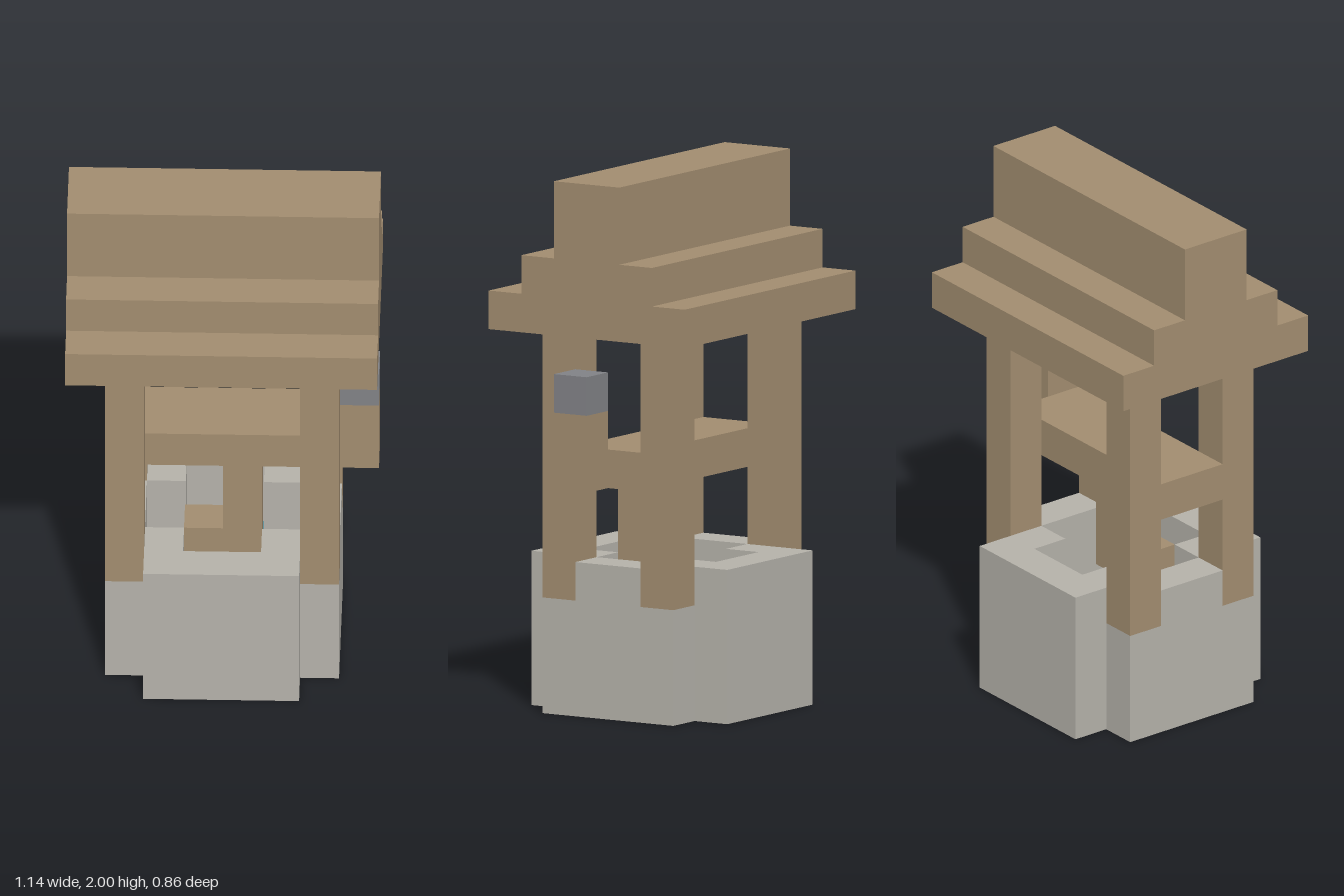
import * as THREE from 'three';

const U = 1 / 7; // one block

const flat = (name, color) => {
  const m = new THREE.MeshStandardMaterial({ color, side: THREE.DoubleSide });
  m.name = name;
  return m;
};

// Upright thin walls following a path of [x, z] points between two heights
function walls(path, y0, y1, closed = false) {
  const pos = [];
  const n = closed ? path.length : path.length - 1;
  for (let i = 0; i < n; i++) {
    const [ax, az] = path[i];
    const [bx, bz] = path[(i + 1) % path.length];
    pos.push(ax, y0, az, bx, y0, bz, bx, y1, bz, ax, y0, az, bx, y1, bz, ax, y1, az);
  }
  const g = new THREE.BufferGeometry();
  g.setAttribute('position', new THREE.Float32BufferAttribute(pos, 3));
  g.computeVertexNormals();
  return g;
}

// Level face with an [x, z] outline and optional holes
function cap(outline, y, holes = []) {
  const v = (pts) => pts.map(([x, z]) => new THREE.Vector2(x, z));
  const s = new THREE.Shape(v(outline));
  holes.forEach((h) => s.holes.push(new THREE.Path(v(h))));
  return new THREE.ShapeGeometry(s).rotateX(Math.PI / 2).translate(0, y, 0);
}

const rect = (x0, x1, z0, z1) => [[x0, z1], [x1, z1], [x1, z0], [x0, z0]];

// Square of half-width r with a notch of size 1 taken from each corner
const cross = (r) => {
  const q = r - 1;
  return [[-q, r], [q, r], [q, q], [r, q], [r, -q], [q, -q],
    [q, -r], [-q, -r], [-q, -q], [-r, -q], [-r, q], [-q, q]];
};

export function createModel() {
  const wood = flat('wood', 0xa18c6f);
  const stone = flat('stone', 0xb4b1a9);
  const iron = flat('iron', 0x808185);
  const water = flat('water', 0x5f8f98);

  const model = new THREE.Group();
  model.name = 'well';
  const add = (name, geometry, material) => {
    const m = new THREE.Mesh(geometry, material);
    m.name = name;
    model.add(m);
    return m;
  };
  const block = (name, x0, x1, y0, y1, z0, z1, material) =>
    add(name, new THREE.BoxGeometry(x1 - x0, y1 - y0, z1 - z0)
      .translate((x0 + x1) / 2, (y0 + y1) / 2, (z0 + z1) / 2), material);

  // Stone basin, open underneath
  const outer = cross(3);
  const inner = cross(2);
  add('basinWall', walls(outer, 0, 3, true), stone);
  for (const s of [-1, 1]) {
    add('basinUpperWall', walls([[-2, 2 * s], [-2, 3 * s], [2, 3 * s], [2, 2 * s]], 3, 4), stone);
    add('basinUpperSide', walls([[3 * s, -1], [3 * s, 1]], 3, 4), stone);
  }
  add('basinLining', walls(inner, 2, 4, true), stone);
  add('basinRim', cap(outer, 4, [inner]), stone);

  // Water around the bucket
  add('water', cap(inner, 2, [rect(-1, 0, 0, 1)]), water);

  // Bucket and rope
  add('bucket', walls(rect(-1, 0, 0, 1), 2, 4, true), wood);
  add('bucketTop', cap(rect(-1, 0, 0, 1), 4), wood);
  block('rope', 0, 1, 3, 6, 0, 1, wood);

  // Four corner posts, their feet set into the basin
  for (const sx of [-1, 1]) {
    for (const sz of [-1, 1]) {
      add('postFoot', walls([[2 * sx, 2 * sz], [3 * sx, 2 * sz], [3 * sx, sz]], 3, 4), wood);
      const [x0, x1] = sx > 0 ? [2, 3] : [-3, -2];
      const [z0, z1] = sz > 0 ? [1, 2] : [-2, -1];
      add('post', walls(rect(x0, x1, z0, z1), 4, 10, true), wood);
    }
  }

  // Winding beam and crank
  block('beam', -3, 3, 6, 7, -1, 1, wood);
  block('crank', 3, 4, 6, 8, 0, 1, wood);
  block('crankGrip', 3, 4, 8, 9, 0, 1, iron);

  // Stepped roof shell, open underneath: profile is [height, z], run along x
  const profile = [[10, 3], [11, 3], [11, 2], [12, 2], [12, 1], [14, 1],
    [14, -1], [12, -1], [12, -2], [11, -2], [11, -3], [10, -3]];
  add('roof', walls(profile, -4, 4).rotateZ(Math.PI / 2), wood);
  for (const s of [-4, 4]) {
    add('gable', cap(profile, s).rotateZ(Math.PI / 2), wood);
  }

  model.scale.setScalar(U);
  return model;
}
